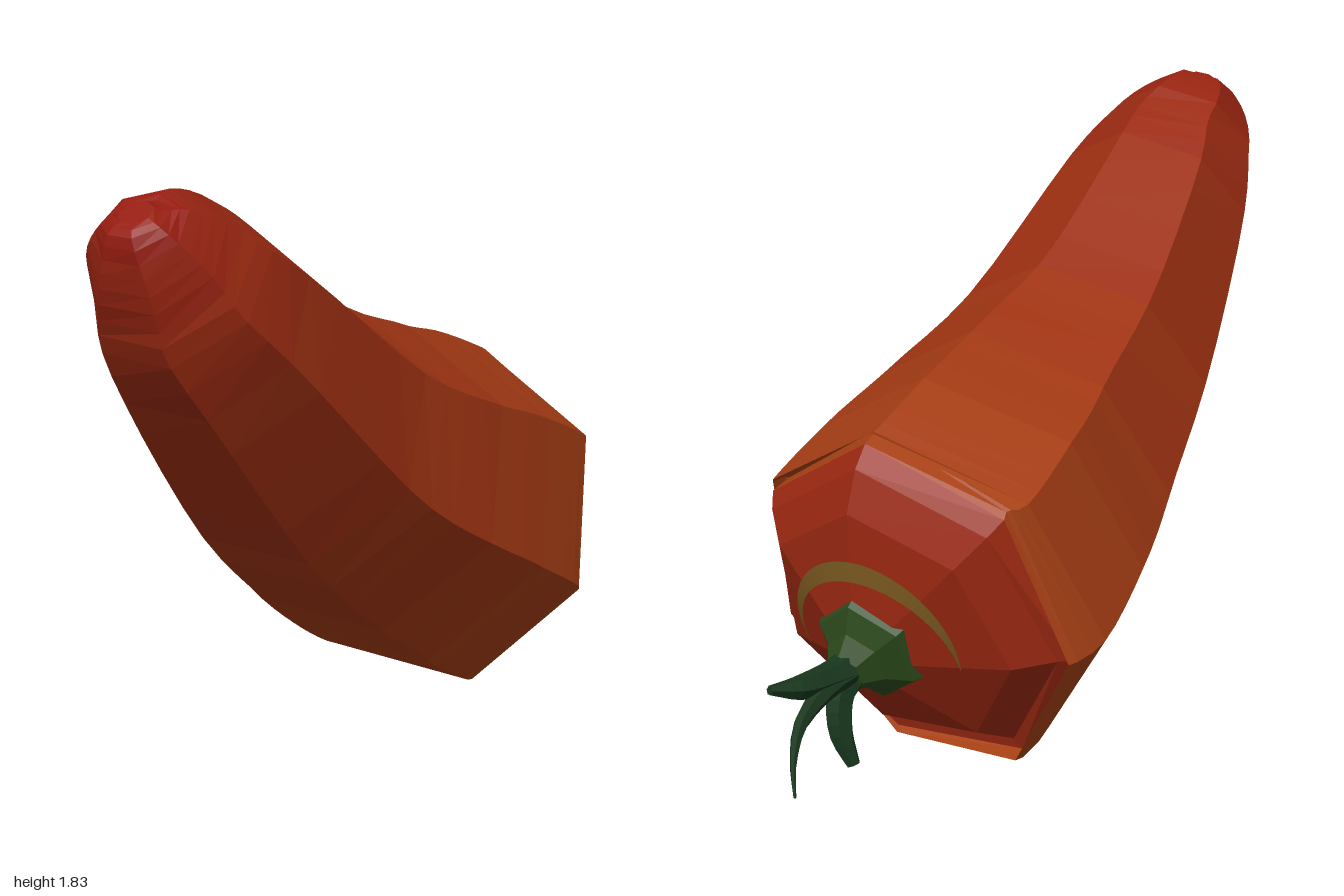
import * as THREE from 'three';

const V = (x, y, z) => new THREE.Vector3(x, y, z);
const mat = (color) => new THREE.MeshStandardMaterial({ color, flatShading: true });
const UP = V(0, 1, 0);

// Corner points of one polygonal ring around centre c, facing direction d
function ring(c, d, r, sides, phase = 0, ref = UP) {
  const n = d.clone().normalize();
  const p = ref.clone().addScaledVector(n, -ref.dot(n)).normalize();
  const s = n.clone().cross(p);
  return Array.from({ length: sides }, (_, j) => {
    const a = phase + (j / sides) * Math.PI * 2;
    return c.clone().addScaledVector(p, r * Math.cos(a)).addScaledVector(s, r * Math.sin(a));
  });
}

// Skin over a list of rings, with optional flat ends
function loft(name, rings, color, capStart = false, capEnd = false) {
  const pos = [];
  const tri = (...pts) => pts.forEach((v) => pos.push(v.x, v.y, v.z));
  const n = rings[0].length;
  for (let i = 0; i + 1 < rings.length; i++) {
    for (let j = 0; j < n; j++) {
      const k = (j + 1) % n, lo = rings[i], hi = rings[i + 1];
      tri(lo[j], lo[k], hi[k]);
      tri(lo[j], hi[k], hi[j]);
    }
  }
  const first = rings[0], last = rings[rings.length - 1];
  for (let j = 1; j + 1 < n; j++) {
    if (capStart) tri(first[0], first[j + 1], first[j]);
    if (capEnd) tri(last[0], last[j], last[j + 1]);
  }
  const g = new THREE.BufferGeometry();
  g.setAttribute('position', new THREE.Float32BufferAttribute(pos, 3));
  g.computeVertexNormals();
  const m = new THREE.Mesh(g, mat(color));
  m.name = name;
  return m;
}

// Rings along a smooth path; each key is [x, y, z, radius]
function sweep(keys, steps, sides, phase, ref) {
  const path = new THREE.CatmullRomCurve3(keys.map((k) => V(k[0], k[1], k[2])), false, 'catmullrom');
  const size = new THREE.CatmullRomCurve3(keys.map((k, i) => V(k[3], i, 0)), false, 'catmullrom');
  return Array.from({ length: steps + 1 }, (_, i) => {
    const t = i / steps;
    return ring(path.getPoint(t), path.getTangent(t), size.getPoint(t).x, sides, phase, ref);
  });
}

export function createModel() {
  const model = new THREE.Group();
  model.name = 'pepper';
  const PHASE = 0.09;

  // Seven-sided body, from the tip to the bevelled shoulder
  const body = sweep([
    [-0.88, 1.78, 0.91, 0.05],
    [-0.86, 1.735, 0.89, 0.135],
    [-0.785, 1.625, 0.81, 0.232],
    [-0.635, 1.43, 0.67, 0.315],
    [-0.26, 1.0, 0.27, 0.42],
    [0.03, 0.775, -0.02, 0.5],
    [0.23, 0.645, -0.23, 0.548],
    [0.42, 0.525, -0.425, 0.57],
    [0.48, 0.5, -0.475, 0.545],
  ], 32, 7, PHASE);

  // Bands shade from deep red at the tip to orange at the shoulder
  const tipColor = new THREE.Color(0x951c10), shoulderColor = new THREE.Color(0xa64014);
  for (let b = 0; b < 8; b++) {
    const color = tipColor.clone().lerp(shoulderColor, b / 7);
    model.add(loft('bodyBand', body.slice(b * 4, b * 4 + 5), color, b === 0));
  }

  // Stem end: stepped dome, its centre drifting slightly off the body axis
  const facing = V(0.71, -0.37, -0.6);
  const drift = V(0.78, -0.47, -0.41);
  const centre = (h) => V(0.48, 0.5, -0.475).addScaledVector(drift, h);
  const endRing = ([h, r], sides = 7) => ring(centre(h), facing, r, sides, PHASE);
  const dome = [[0.03, 0.505], [0.11, 0.41], [0.18, 0.23], [0.21, 0.15]].map((k) => endRing(k));
  model.add(loft('stemEnd', [body[32], ...dome], 0x9c2811, false, true));

  // Pale crescent around the upper half of the calyx
  const arc = [];
  const outer = endRing([0.166, 0.285], 48), inner = endRing([0.187, 0.23], 48);
  const at = (i) => {
    const q = (i + 48) % 48;
    const width = Math.cos((i / 14) * Math.PI / 2);
    return [outer[q], outer[q].clone().lerp(inner[q], width)];
  };
  for (let j = -14; j < 14; j++) {
    const [a, b] = at(j), [c, d] = at(j + 1);
    [a, c, d, a, d, b].forEach((v) => arc.push(v.x, v.y, v.z));
  }
  const arcGeo = new THREE.BufferGeometry();
  arcGeo.setAttribute('position', new THREE.Float32BufferAttribute(arc, 3));
  arcGeo.computeVertexNormals();
  const crescent = new THREE.Mesh(arcGeo, mat(0x7c5a20));
  crescent.material.side = THREE.DoubleSide;
  crescent.name = 'crescent';
  model.add(crescent);

  // Six-sided calyx
  const calyx = [[0.18, 0.185], [0.22, 0.165], [0.26, 0.1], [0.31, 0.06]].map((k) => endRing(k, 6));
  model.add(loft('calyx', calyx, 0x2c4a1c, false, true));

  // Three tapering prongs of the stem
  const prongs = {
    stem: [[0.69, 0.37, -0.58, 0.06], [0.77, 0.36, -0.63, 0.045],
      [0.87, 0.36, -0.69, 0.036], [0.965, 0.38, -0.735, 0.014]],
    stemTendril: [[0.69, 0.37, -0.59, 0.05], [0.78, 0.34, -0.65, 0.036],
      [0.88, 0.28, -0.75, 0.022], [0.93, 0.22, -0.88, 0.01], [0.95, 0.17, -1.0, 0.004]],
    stemHook: [[0.68, 0.36, -0.575, 0.05], [0.735, 0.29, -0.6, 0.045],
      [0.745, 0.19, -0.635, 0.038], [0.715, 0.095, -0.665, 0.02]],
  };
  for (const [name, keys] of Object.entries(prongs)) {
    model.add(loft(name, sweep(keys, 10, 6, 0, V(1, 0, 1)), 0x17351c, true, true));
  }
  return model;
}
